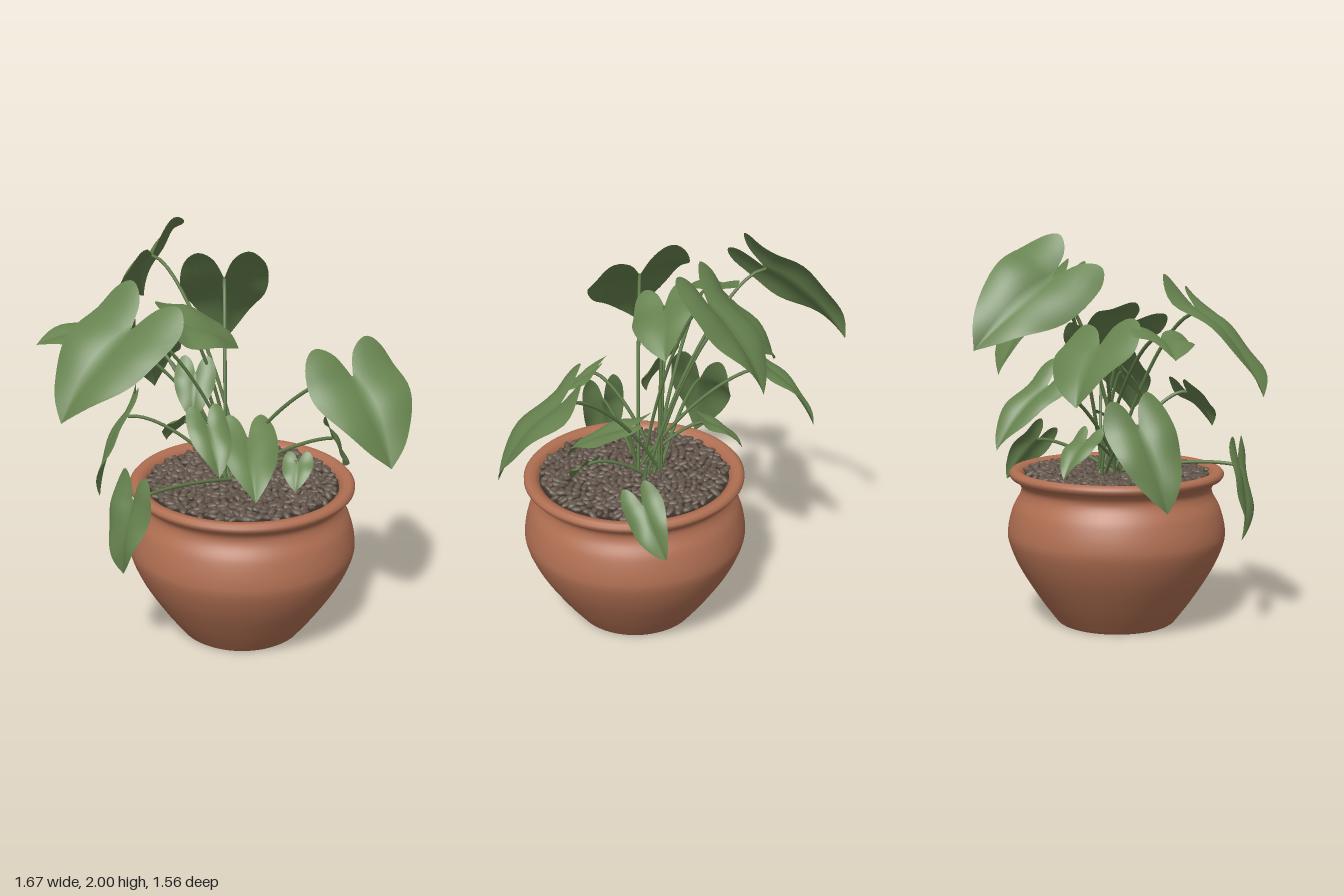
import * as THREE from 'three';
import { mergeGeometries } from 'three/addons/utils/BufferGeometryUtils.js';

const V = (a) => new THREE.Vector3(...a);
const UP = new THREE.Vector3(0, 1, 0);
const CX = 0.105, CZ = 0.218; // pot axis

const terracotta = new THREE.MeshStandardMaterial({ name: 'terracotta', color: 0xb06f52 });
const pebbleBrown = new THREE.MeshStandardMaterial({ name: 'pebble brown', color: 0x62554a });
const soilBrown = new THREE.MeshStandardMaterial({ name: 'soil brown', color: 0x3a3029 });
const leafGreen = new THREE.MeshStandardMaterial({ name: 'leaf green', color: 0x67834f, side: THREE.DoubleSide });
const stemGreen = new THREE.MeshStandardMaterial({ name: 'stem green', color: 0x5f7a48 });

function seeded(seed) {
  return () => {
    seed = (seed * 16807) % 2147483647;
    return seed / 2147483647;
  };
}

// Half outline of a heart-shaped leaf: x across, y from sinus (0) to tip (1)
const outline = new THREE.SplineCurve([
  [0, 0], [0.22, -0.27], [0.6, -0.38], [0.92, -0.2], [1, 0.15], [0.82, 0.48], [0.42, 0.8], [0, 1],
].map(([x, y]) => new THREE.Vector2(x, y)));

// Leaf blade from base to tip, rolled about its midrib, arched and slightly wavy
function leafGeometry(base, tip, halfWidth, roll, phase) {
  const axis = tip.clone().sub(base);
  const size = axis.length(), along = axis.clone().normalize();
  const across = UP.clone().cross(axis).normalize().applyAxisAngle(along, roll);
  const normal = along.clone().cross(across);
  const rows = 30, cols = 14, pos = [], index = [];
  for (let i = 0; i <= rows; i++) {
    const t = i / rows, o = outline.getPoint(t);
    const rib = Math.max(0, (t - 0.25) / 0.75);
    for (let j = 0; j <= cols; j++) {
      const s = (j / cols) * 2 - 1, r = Math.abs(s);
      const u = o.x * r, v = THREE.MathUtils.lerp(rib, o.y, r);
      const bow = 0.07 * (v < 0 ? 1.2 * v : 4 * v * (1 - v));
      const wave = 0.03 * u * Math.sin(v * 8 + phase + (s > 0 ? 2 : 0));
      const p = base.clone().addScaledVector(axis, v)
        .addScaledVector(across, Math.sign(s) * u * halfWidth)
        .addScaledVector(normal, size * (bow + wave + 0.22 * u * (1 - u)));
      pos.push(p.x, p.y, p.z);
      if (i < rows && j < cols) {
        const k = i * (cols + 1) + j, n = k + cols + 1;
        index.push(k, n, k + 1, k + 1, n, n + 1);
      }
    }
  }
  const g = new THREE.BufferGeometry();
  g.setAttribute('position', new THREE.Float32BufferAttribute(pos, 3));
  g.setIndex(index);
  g.computeVertexNormals();
  return g;
}

// name, base, tip, half width, roll about the midrib
const leaves = [
  ['topBackLeaf', [-0.2, 1.79, -0.38], [-0.165, 1.47, -0.78], 0.23, -0.78],
  ['backCentreLeaf', [0.11, 1.71, -0.15], [0.2, 1.31, -0.43], 0.22, -0.11],
  ['frontRightLeaf', [0.57, 1.36, 0.46], [0.67, 1.0, 0.74], 0.25, 0.12],
  ['frontLeftLeaf', [-0.45, 1.62, 0.29], [-0.8, 1.24, 0.4], 0.27, -0.27],
  ['backLeftLeaf', [-0.33, 1.48, -0.2], [-0.44, 1.21, -0.41], 0.23, 0.22],
  ['outerLeftLeaf', [-0.57, 1.52, -0.03], [-0.83, 1.44, -0.15], 0.145, -0.17],
  ['lowBackLeaf', [-0.18, 1.28, -0.4], [-0.14, 1.0, -0.65], 0.13, -0.28],
  ['sideLeftLeaf', [-0.41, 1.08, -0.03], [-0.57, 0.69, 0.02], 0.17, 0.54],
  ['hangingLeaf', [-0.5, 0.87, 0.51], [-0.55, 0.5, 0.5], 0.12, -0.78],
  ['smallRightLeaf', [0.62, 0.9, 0.07], [0.73, 0.68, -0.06], 0.1, 0.91],
  ['centreLeaf', [-0.17, 1.57, 0.11], [0.13, 1.41, 0.05], 0.17, 0.4],
  ['lowFrontLeaf', [0.12, 1.02, 0.26], [0.07, 0.82, 0.57], 0.14, 0],
  ['smallFrontLeaf', [-0.14, 1.2, 0.48], [-0.13, 1.01, 0.66], 0.1, 0],
  ['tinyFrontLeaf', [0.33, 0.93, 0.4], [0.29, 0.82, 0.49], 0.075, 0.1],
  ['lowInnerLeaf', [-0.1, 0.99, -0.12], [-0.16, 0.83, -0.29], 0.085, 0],
  ['innerLeaf', [-0.1, 1.32, 0.1], [-0.14, 1.12, 0.2], 0.1, 0],
];

function buildPot() {
  const pot = new THREE.Group();
  pot.name = 'pot';
  const body = new THREE.SplineCurve([
    [0.31, 0.008], [0.4, 0.13], [0.5, 0.29], [0.555, 0.42], [0.56, 0.5],
    [0.535, 0.6], [0.498, 0.67], [0.492, 0.71], [0.515, 0.745],
  ].map(([x, y]) => new THREE.Vector2(x, y))).getPoints(44);
  const foot = [[0, 0], [0.29, 0], [0.3, 0.001]].map(([x, y]) => new THREE.Vector2(x, y));
  const rim = [
    [0.54, 0.755], [0.552, 0.77], [0.552, 0.785], [0.54, 0.798], [0.525, 0.802],
    [0.5, 0.797], [0.478, 0.78], [0.47, 0.75], [0.47, 0.72],
  ].map(([x, y]) => new THREE.Vector2(x, y));
  const shell = new THREE.Mesh(new THREE.LatheGeometry([...foot, ...body, ...rim], 72), terracotta);
  shell.name = 'potShell';
  const soil = new THREE.Mesh(new THREE.CylinderGeometry(0.475, 0.475, 0.02, 48), soilBrown);
  soil.position.y = 0.758;
  soil.name = 'soil';

  // Pebbles spread in a spiral over the soil
  const rand = seeded(7), stones = [], count = 520, m = new THREE.Matrix4();
  for (let i = 0; i < count; i++) {
    const r = 0.462 * Math.sqrt((i + 0.5) / count), t = i * 2.39996;
    const turn = new THREE.Quaternion().setFromEuler(
      new THREE.Euler((rand() - 0.5) * 0.7, rand() * Math.PI, (rand() - 0.5) * 0.7));
    const k = 0.85 + rand() * 0.4;
    const place = V([r * Math.cos(t), 0.776 + rand() * 0.014, r * Math.sin(t)]);
    m.compose(place, turn, V([0.028 * k, 0.013 * k, 0.016 * k]));
    stones.push(new THREE.SphereGeometry(1, 8, 6).applyMatrix4(m));
  }
  const pebbles = new THREE.Mesh(mergeGeometries(stones), pebbleBrown);
  pebbles.name = 'pebbles';
  pot.add(shell, soil, pebbles);
  pot.position.set(CX, 0, CZ);
  return pot;
}

// Thin stalk rising steeply from the soil and arching into the leaf base
function buildStem(base, i) {
  const foot = V([0.07 + 0.06 * Math.cos(i * 2.4), 0.77, 0.15 + 0.06 * Math.sin(i * 2.4)]);
  const rise = base.y - foot.y;
  const p1 = foot.clone().lerp(base, 0.22).setY(foot.y + rise * 0.5);
  const p2 = foot.clone().lerp(base, 0.72).setY(foot.y + rise * 0.98 + 0.03);
  const curve = new THREE.CubicBezierCurve3(foot, p1, p2, base);
  const stem = new THREE.Mesh(new THREE.TubeGeometry(curve, 22, 0.009, 6), stemGreen);
  stem.name = 'stem';
  return stem;
}

export function createModel() {
  const model = new THREE.Group();
  model.name = 'pottedPlant';
  model.add(buildPot());
  leaves.forEach(([name, base, tip, halfWidth, roll], i) => {
    const group = new THREE.Group();
    group.name = name;
    const blade = new THREE.Mesh(leafGeometry(V(base), V(tip), halfWidth, roll, i * 1.7), leafGreen);
    blade.name = 'blade';
    group.add(blade, buildStem(V(base), i));
    model.add(group);
  });
  return model;
}
